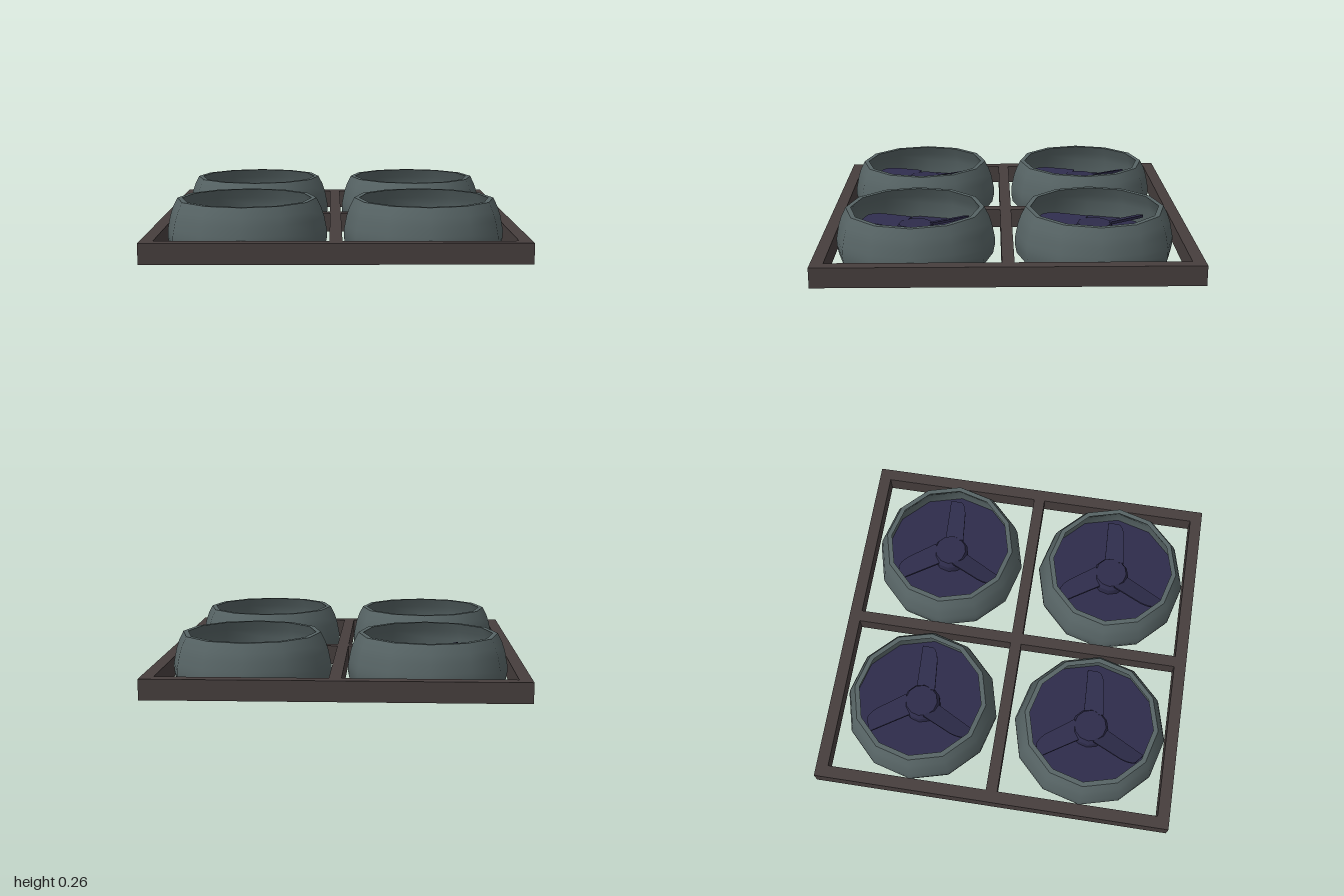
import * as THREE from 'three';
import { mergeGeometries } from 'three/addons/utils/BufferGeometryUtils.js';

const makeMaterial = (name, color, side = THREE.FrontSide) => {
  const m = new THREE.MeshStandardMaterial({ color, side });
  m.name = name;
  return m;
};

const SIDES = 12;
const lathe = (pts, sides = SIDES) =>
  new THREE.LatheGeometry(pts.map(([r, y]) => new THREE.Vector2(r, y)), sides);

// Hollow bulging cowl: outer wall, rim, inner wall and foot kept separate for crisp edges
function cowlGeometry() {
  const outer = [[0.42, 0], [0.43, 0.05], [0.43, 0.09], [0.424, 0.12], [0.414, 0.17], [0.399, 0.215], [0.374, 0.265]];
  const inner = [[0.347, 0.265], [0.37, 0.215], [0.385, 0.17], [0.393, 0.1], [0.395, 0.05], [0.395, 0]];
  return mergeGeometries([
    lathe(outer),
    lathe([outer.at(-1), inner[0]]),
    lathe(inner),
    lathe([inner.at(-1), outer[0]]),
  ]);
}

// Hub with a bevelled top
function hubGeometry() {
  return mergeGeometries([
    lathe([[0.105, 0.08], [0.105, 0.14]]),
    lathe([[0.105, 0.14], [0.09, 0.172]]),
    lathe([[0.09, 0.172], [0, 0.172]]),
  ]);
}

// Pitched fan blade pointing along +x
function bladeGeometry() {
  const s = new THREE.Shape();
  s.moveTo(0.07, -0.045);
  s.lineTo(0.2, -0.05);
  s.lineTo(0.335, -0.056);
  s.lineTo(0.326, 0.01);
  s.quadraticCurveTo(0.31, 0.035, 0.25, 0.047);
  s.lineTo(0.07, 0.065);
  const g = new THREE.ExtrudeGeometry(s, { depth: 0.015, bevelEnabled: false, curveSegments: 4 });
  g.rotateX(Math.PI / 2);
  const p = g.attributes.position;
  for (let i = 0; i < p.count; i++) p.setY(i, p.getY(i) + 0.162 + 0.3 * p.getZ(i));
  g.computeVertexNormals();
  return g;
}

export function createModel() {
  const frameMat = makeMaterial('dark brown frame', 0x463e3d);
  const cowlMat = makeMaterial('grey green cowl', 0x566364);
  const fanMat = makeMaterial('navy fan', 0x2e2c4b);

  const model = new THREE.Group();
  model.name = 'fanPanel';
  const add = (parent, name, geometry, material) => {
    const mesh = new THREE.Mesh(geometry, material);
    mesh.name = name;
    parent.add(mesh);
    return mesh;
  };

  // Square frame with a cross in the middle
  const H = 0.108, W = 0.983, T = 0.067, C = 0.064;
  const frame = new THREE.Group();
  frame.name = 'frame';
  model.add(frame);
  const bar = (name, w, d, x, z) =>
    add(frame, name, new THREE.BoxGeometry(w, H, d), frameMat).position.set(x, H / 2, z);
  for (const s of [-1, 1]) {
    bar(s > 0 ? 'leftBar' : 'rightBar', T, 2, s * (W - T / 2), 0);
    bar(s > 0 ? 'frontBar' : 'backBar', 2 * (W - T), T, 0, s * (1 - T / 2));
    bar('crossBarHalf', W - T - C / 2, C, s * (W - T + C / 2) / 2, 0);
  }
  bar('middleBar', C, 2 * (1 - T), 0, 0);

  // Four fans, one in each opening
  const cowl = cowlGeometry();
  const hub = hubGeometry();
  const blade = bladeGeometry();
  const plate = new THREE.CylinderGeometry(0.392, 0.392, 0.025, SIDES);
  for (const x of [-0.477, 0.474]) {
    for (const z of [-0.474, 0.495]) {
      const fan = new THREE.Group();
      fan.name = 'fan';
      fan.position.set(x, 0, z);
      model.add(fan);
      add(fan, 'cowl', cowl, cowlMat);
      add(fan, 'basePlate', plate, fanMat).position.y = 0.0725;
      add(fan, 'hub', hub, fanMat);
      for (let i = 0; i < 3; i++) add(fan, 'blade', blade, fanMat).rotation.y = (i * Math.PI * 2) / 3;
    }
  }
  return model;
}
